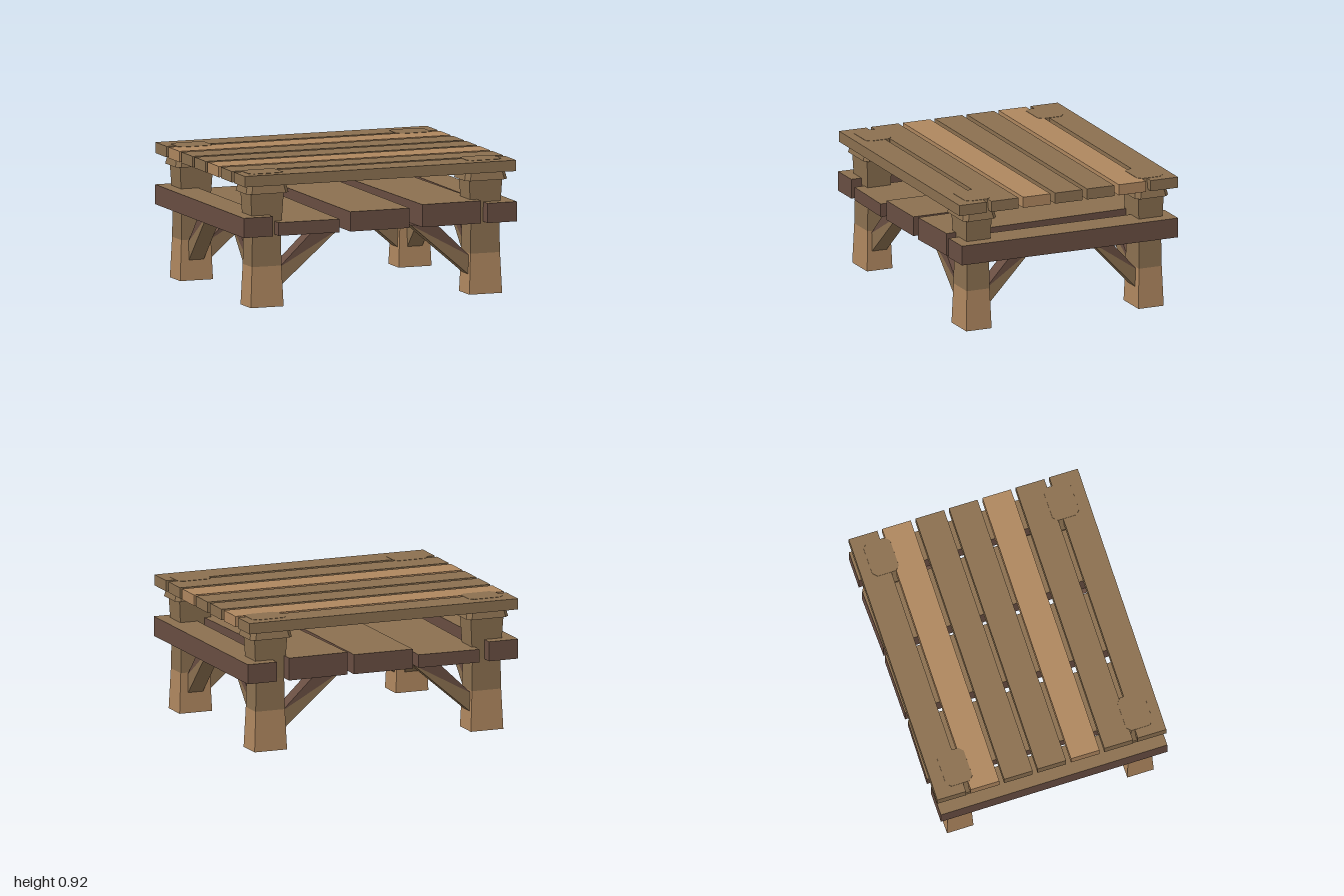
import * as THREE from 'three';

const LEG_X = 0.8, LEG_Z = 0.645;

function mat(name, color) {
  const m = new THREE.MeshStandardMaterial({ color });
  m.name = name;
  return m;
}

function flat(geo) {
  const g = geo.index ? geo.toNonIndexed() : geo;
  g.computeVertexNormals();
  return g;
}

export function createModel() {
  const model = new THREE.Group();
  model.name = 'table';
  const brown = mat('brown wood', 0x8b7050);
  const tan = mat('light wood', 0xaf875f);
  const dark = mat('dark wood', 0x694e42);

  const add = (parent, name, geo, material, x = 0, y = 0, z = 0) => {
    const mesh = new THREE.Mesh(geo, material);
    mesh.name = name;
    mesh.position.set(x, y, z);
    parent.add(mesh);
    return mesh;
  };

  // Tabletop planks, laid along x and all slightly askew
  for (let i = 0; i < 7; i++) {
    const plank = add(model, 'tabletopPlank', new THREE.BoxGeometry(1.98, 0.075, 0.204),
      i === 1 || i === 4 ? tan : brown, 0, 0.8825, (i - 3) * 0.239 - 0.004);
    plank.rotation.y = -0.0088;
  }

  // Shelf boards along z: brown on top, dark on the other sides
  const boardMats = [dark, dark, brown, dark, dark, dark];
  const boards = [ // centre x, width, top, turn
    [-0.8925, 0.215, 0.633, 0],
    [-0.505, 0.445, 0.588, -0.0216],
    [-0.0025, 0.435, 0.633, 0],
    [0.501, 0.435, 0.653, 0.027],
    [0.8925, 0.215, 0.633, 0],
  ];
  for (const [x, w, top, turn] of boards) {
    const h = top - 0.497;
    add(model, 'shelfBoard', new THREE.BoxGeometry(w, h, 1.62), boardMats, x, 0.497 + h / 2, 0)
      .rotation.y = turn;
  }

  // Four-sided tapered leg section; half widths are along x
  const legSection = (y0, y1, half0, half1) => {
    const g = new THREE.CylinderGeometry(half1 * Math.SQRT2, half0 * Math.SQRT2, y1 - y0, 4);
    g.rotateY(Math.PI / 4).scale(1, 1, 0.79).translate(0, (y0 + y1) / 2, 0);
    return flat(g);
  };

  // Chamfered cap, narrowing towards the top
  const capGeometry = () => {
    const a = 0.155, b = 0.125, c = 0.03, h = 0.137, taper = 0.03;
    const shape = new THREE.Shape([
      [a, -b + c], [a, b - c], [a - c, b], [-a + c, b],
      [-a, b - c], [-a, -b + c], [-a + c, -b], [a - c, -b],
    ].map(([x, y]) => new THREE.Vector2(x, y)));
    const g = new THREE.ExtrudeGeometry(shape, { depth: h, bevelEnabled: false });
    g.rotateX(-Math.PI / 2);
    const p = g.attributes.position;
    for (let i = 0; i < p.count; i++) {
      const t = taper * p.getY(i) / h;
      p.setX(i, p.getX(i) - Math.sign(p.getX(i)) * t);
      p.setZ(i, p.getZ(i) - Math.sign(p.getZ(i)) * t);
    }
    return flat(g);
  };

  // Triangular half of a diagonal brace
  const wedge = (points, side, alongZ) => {
    const shape = new THREE.Shape(points.map(([d, y]) => new THREE.Vector2(d * side, y)));
    const g = new THREE.ExtrudeGeometry(shape, { depth: 0.11, bevelEnabled: false });
    g.translate(0, 0, -0.055);
    if (alongZ) g.rotateY(-Math.PI / 2);
    return g;
  };

  // Legs, caps and braces at each corner
  for (const sx of [-1, 1]) for (const sz of [-1, 1]) {
    const leg = new THREE.Group();
    leg.name = 'leg';
    leg.position.set(sx * LEG_X, 0, sz * LEG_Z);
    model.add(leg);
    add(leg, 'foot', legSection(0, 0.28, 0.12, 0.108), tan);
    add(leg, 'legMiddle', legSection(0.28, 0.5, 0.108, 0.104), brown);
    add(leg, 'legUpper', legSection(0.5, 0.79, 0.104, 0.121), brown);
    add(leg, 'legCap', capGeometry(), brown, 0, 0.785, 0);

    for (const [alongZ, side, start, c, d] of [
      [false, sx, 0.70, 0.45, 0.265],
      [true, sz, 0.57, 0.355, 0.22],
    ]) {
      const A = [start, 0.125], B = [start, 0.26], C = [c, 0.498], D = [d, 0.498];
      const x = alongZ ? sx * LEG_X : 0, z = alongZ ? 0 : sz * LEG_Z;
      add(model, 'braceLower', wedge([A, B, D], side, alongZ), brown, x, 0, z);
      add(model, 'braceUpper', wedge([B, C, D], side, alongZ), dark, x, 0, z);
    }
  }
  return model;
}
